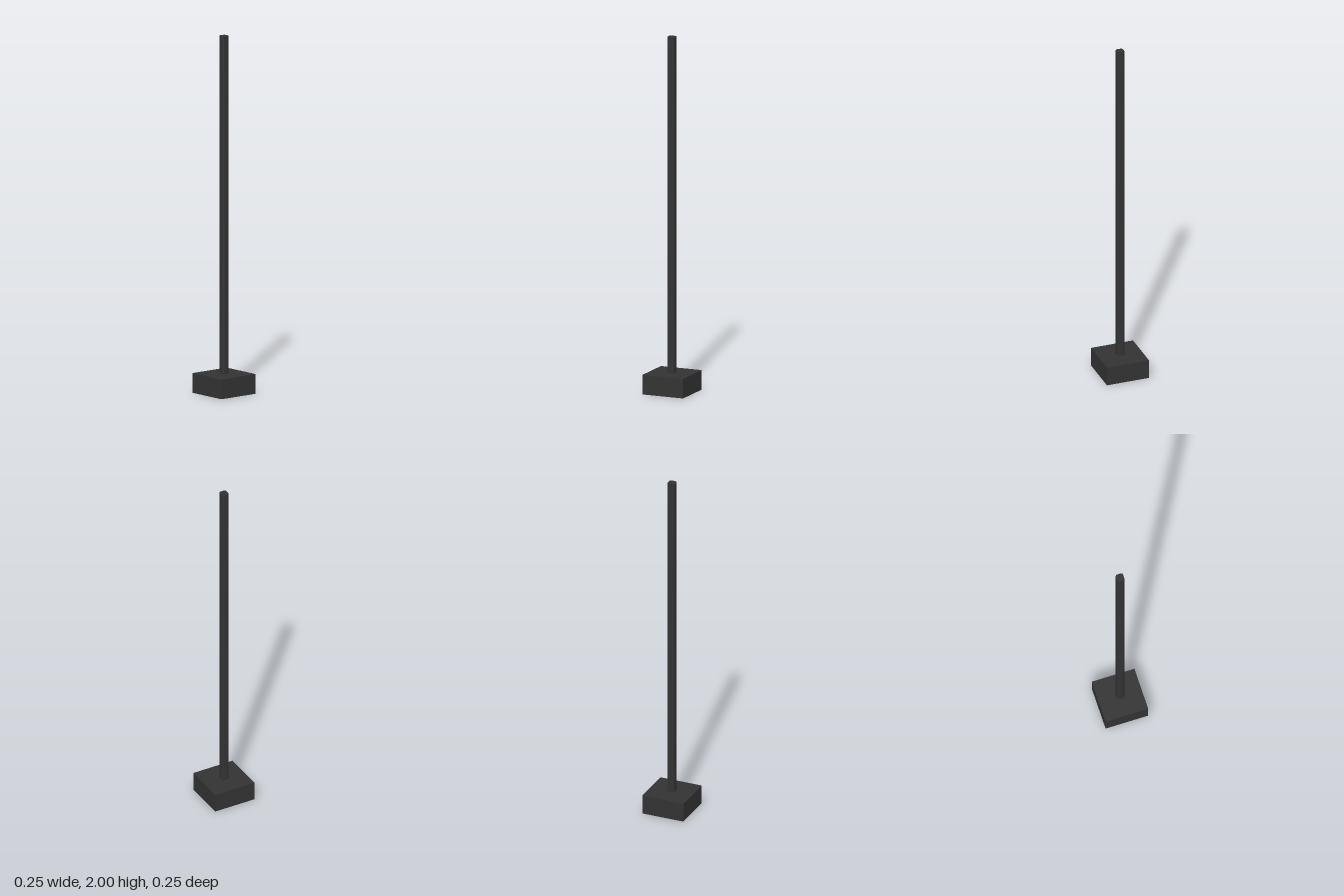
import * as THREE from 'three';

const BASE_WIDTH = 0.246, BASE_HEIGHT = 0.11;
const POLE_WIDTH = 0.043, CORNER = 0.013, TOP = 2;

// Square outline with rounded corners, centred on the origin
function roundedSquare(width, r) {
  const c = width / 2 - r;
  const shape = new THREE.Shape();
  for (let i = 0; i < 4; i++) {
    const a = Math.PI / 4 + i * Math.PI / 2;
    shape.absarc(Math.sign(Math.cos(a)) * c, Math.sign(Math.sin(a)) * c, r,
      i * Math.PI / 2, (i + 1) * Math.PI / 2, false);
  }
  shape.closePath();
  return shape;
}

export function createModel() {
  const model = new THREE.Group();
  model.name = 'postOnBase';
  const material = new THREE.MeshStandardMaterial({ color: 0x333333 });

  // Square block foot
  const base = new THREE.Mesh(new THREE.BoxGeometry(BASE_WIDTH, BASE_HEIGHT, BASE_WIDTH), material);
  base.name = 'base';
  base.position.y = BASE_HEIGHT / 2;
  model.add(base);

  // Upright pole with rounded edges
  const poleGeometry = new THREE.ExtrudeGeometry(roundedSquare(POLE_WIDTH, CORNER), {
    depth: TOP - BASE_HEIGHT, bevelEnabled: false, curveSegments: 4,
  });
  poleGeometry.rotateX(-Math.PI / 2);
  const pole = new THREE.Mesh(poleGeometry, material);
  pole.name = 'pole';
  pole.position.y = BASE_HEIGHT;
  model.add(pole);

  return model;
}
